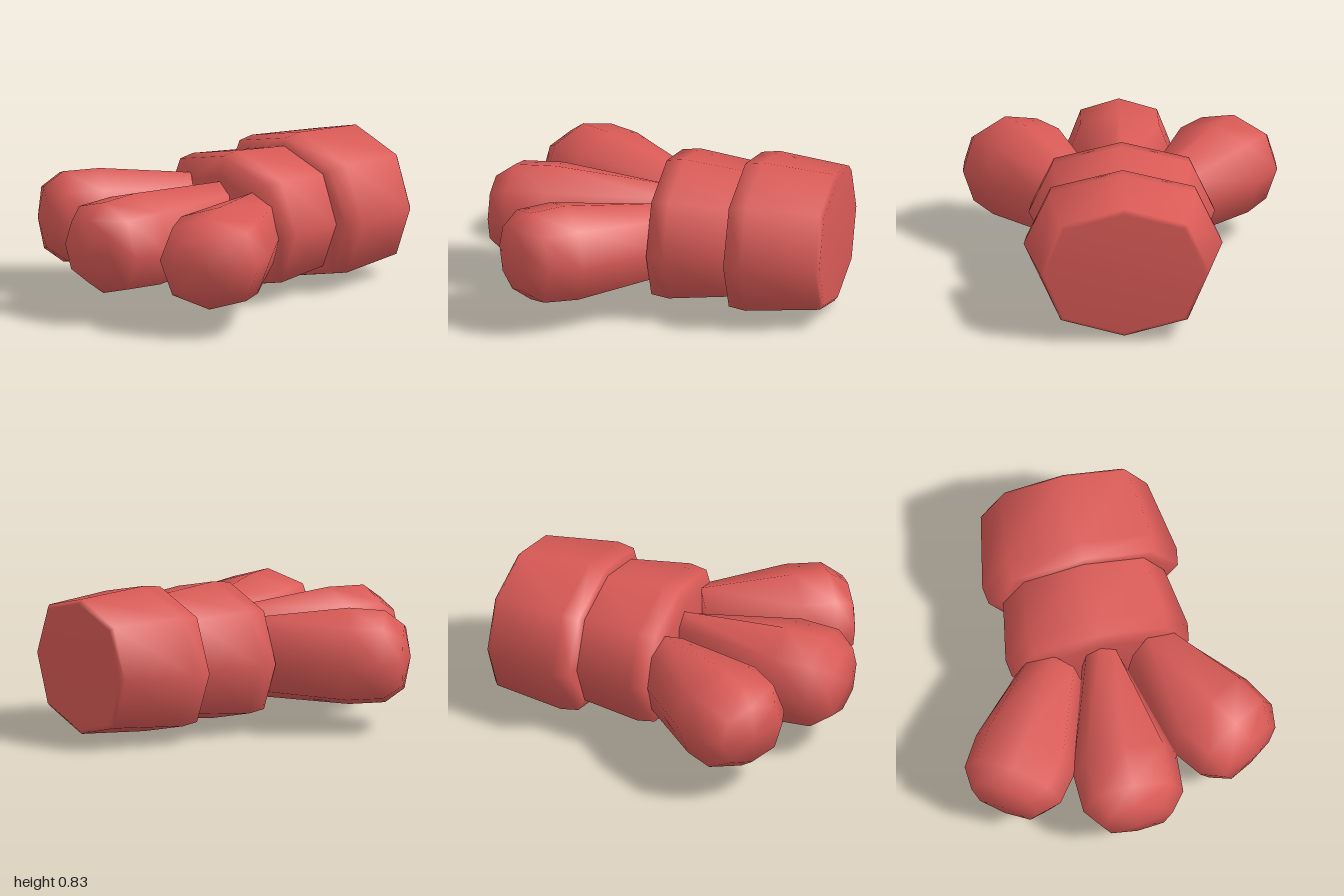
import * as THREE from 'three';

const SIDES = 8;
const MID_Y = 0.42;

// Closed eight-sided loft along +z. Each ring is [z, halfWidth, halfHeight, xOffset].
// capStart and capEnd are the z of the end centre points.
function loft(rings, capStart, capEnd) {
  const pos = [], index = [];
  for (const [z, rx, ry, cx = 0] of rings) {
    for (let i = 0; i < SIDES; i++) {
      const a = (i / SIDES) * Math.PI * 2;
      const bulge = i % 2 ? 1.055 : 1; // slightly squared diagonals
      pos.push(cx + Math.cos(a) * rx * bulge, Math.sin(a) * ry * bulge, z);
    }
  }
  const last = rings.length - 1;
  const start = pos.length / 3, end = start + 1;
  pos.push(rings[0][3] ?? 0, 0, capStart, rings[last][3] ?? 0, 0, capEnd);
  for (let i = 0; i < SIDES; i++) {
    const j = (i + 1) % SIDES;
    for (let r = 0; r < last; r++) {
      const a = r * SIDES, b = a + SIDES;
      index.push(a + i, a + j, b + j, a + i, b + j, b + i);
    }
    index.push(start, j, i, end, last * SIDES + i, last * SIDES + j);
  }
  const g = new THREE.BufferGeometry();
  g.setAttribute('position', new THREE.Float32BufferAttribute(pos, 3));
  g.setIndex(index);
  g.computeVertexNormals();
  return g;
}

export function createModel() {
  const group = new THREE.Group();
  group.name = 'foot';
  const red = new THREE.MeshStandardMaterial({ color: 0xd95a56 });
  red.name = 'coralRed';

  const add = (name, geometry, angle = 0) => {
    const mesh = new THREE.Mesh(geometry, red);
    mesh.name = name;
    mesh.position.y = MID_Y;
    mesh.rotation.y = angle;
    group.add(mesh);
  };

  // Rear cuff with bevelled ends
  add('rearCuff', loft([
    [-1, 0.45, 0.36],
    [-0.98, 0.475, 0.385],
    [-0.57, 0.555, 0.415],
    [-0.47, 0.54, 0.4],
    [-0.455, 0.45, 0.34],
  ], -1, -0.455));

  // Front cuff, its narrow end tucked into the rear one
  add('frontCuff', loft([
    [-0.52, 0.45, 0.345],
    [-0.46, 0.46, 0.355],
    [-0.12, 0.52, 0.39],
    [-0.02, 0.505, 0.375],
    [0.005, 0.33, 0.26],
  ], -0.52, 0.012));

  // Middle toe
  add('middleToe', loft([
    [-0.03, 0.1, 0.23],
    [0.62, 0.295, 0.275],
    [0.85, 0.285, 0.262],
    [0.96, 0.2, 0.18],
  ], -0.03, 0.995));

  // Splayed side toes, mirrored
  for (const side of [1, -1]) {
    const c = 0.188 * side;
    add(side > 0 ? 'leftToe' : 'rightToe', loft([
      [0.143, 0.165, 0.225, 0.229 * side],
      [0.662, 0.298, 0.275, c],
      [0.863, 0.288, 0.262, c],
      [0.972, 0.203, 0.18, c],
    ], 0.143, 1.007), side * 0.593);
  }
  return group;
}
